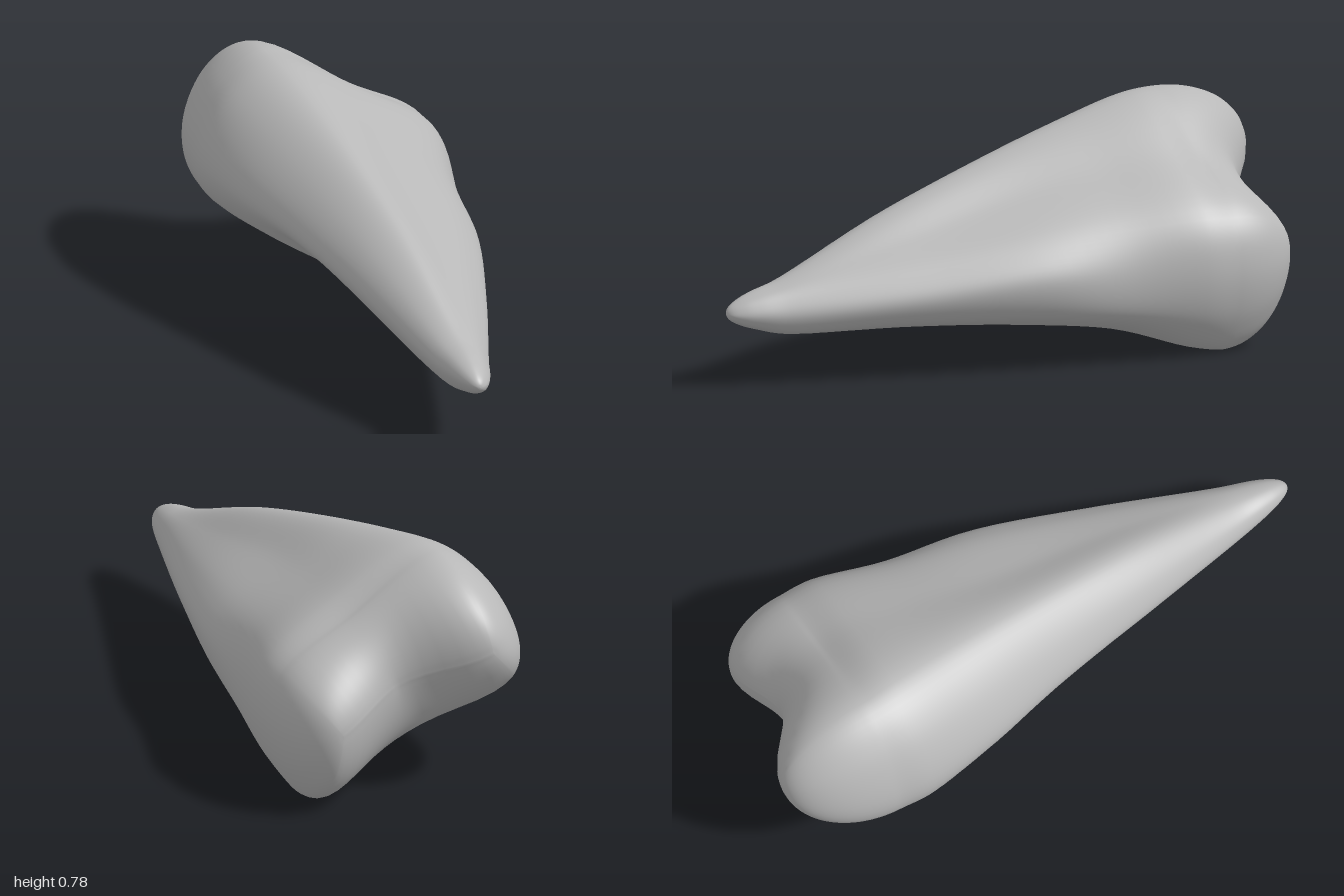
import * as THREE from 'three';
import { mergeVertices } from 'three/addons/utils/BufferGeometryUtils.js';

const COLS = 80;
const ROWS = 130;

// Cross-sections, ten points each: left edge, underside, right edge, upper face, ridge
const SECTIONS = [
  { z: 0.8, p: [-.09, .27, -.06, .205, -.01, .17, .04, .17, .08, .19, .1, .24, .08, .29, .045, .325, -.01, .342, -.065, .32] },
  { z: 0.4, p: [-.2, .36, -.135, .26, -.02, .18, .1, .165, .19, .19, .23, .27, .18, .355, .08, .435, -.035, .51, -.145, .46] },
  { z: 0, p: [-.3, .415, -.18, .315, .02, .16, .19, .14, .305, .19, .34, .31, .27, .42, .09, .535, -.08, .64, -.225, .56] },
  { z: -0.3, p: [-.385, .445, -.3, .31, 0, .14, .24, .1, .355, .16, .38, .3, .32, .45, .12, .595, -.115, .72, -.28, .635] },
  { z: -0.55, p: [-.43, .46, -.385, .325, 0, .13, .28, .02, .39, .12, .43, .3, .38, .47, .15, .63, -.15, .775, -.325, .68] },
  { z: -0.66, p: [-.425, .46, -.39, .33, .01, .14, .295, .001, .39, .11, .43, .3, .38, .465, .14, .61, -.165, .78, -.325, .685] },
];
const TIP = new THREE.Vector3(0, 0.25, 1);

// Centres of the two rear lobes and of the groove between them
const LOBE_A = new THREE.Vector3(-0.22, 0.54, -1);
const GROOVE = new THREE.Vector3(0.06, 0.42, -0.855);
const LOBE_B = new THREE.Vector3(0.28, 0.31, -0.91);
const REAR = [LOBE_A, LOBE_A, GROOVE, LOBE_B, LOBE_B, LOBE_B, LOBE_B, GROOVE, LOBE_A, LOBE_A];

// Closed curve through the points, sampled at equal steps
function sampleRing(points, type, tension) {
  const curve = new THREE.CatmullRomCurve3(points, true, type, tension);
  return Array.from({ length: COLS }, (_, j) => curve.getPoint(j / COLS));
}

function sectionRing({ z, p }) {
  const points = Array.from({ length: 10 }, (_, i) => new THREE.Vector3(p[2 * i], p[2 * i + 1], z));
  return sampleRing(points, 'centripetal');
}

// Line joining the rear lobes, dipping into a rounded groove
function rearLine() {
  return sampleRing(REAR, 'catmullrom', 0).map((v) => {
    const lobe = v.x < GROOVE.x ? LOBE_A : LOBE_B;
    const w = THREE.MathUtils.smoothstep(Math.abs(v.x - GROOVE.x), 0, Math.abs(lobe.x - GROOVE.x));
    return v.setZ(THREE.MathUtils.lerp(GROOVE.z, lobe.z, w));
  });
}

function controlRings() {
  const body = SECTIONS.map(sectionRing);
  // rounded front tip
  const tip = [[1, 0], [0.997, 0.12], [0.985, 0.28], [0.95, 0.5], [0.9, 0.7]].map(([z, k]) =>
    body[0].map((v) => TIP.clone().lerp(v, k).setZ(z)));
  // domed rear: each point closes on its own lobe or on the groove
  const last = body[body.length - 1];
  const target = rearLine();
  const rear = [];
  for (let n = 1; n <= 12; n++) {
    const a = (n / 12) * Math.PI / 2;
    rear.push(last.map((v, j) => {
      const r = target[j].clone().lerp(v, Math.cos(a));
      r.z = THREE.MathUtils.lerp(v.z, target[j].z, Math.sin(a));
      return r;
    }));
  }
  return [...tip, ...body, ...rear];
}

// Smooth surface through the control rings
function loft(rings) {
  const columns = rings[0].map((_, j) => new THREE.CatmullRomCurve3(rings.map((r) => r[j])));
  const positions = [];
  const index = [];
  for (let i = 0; i <= ROWS; i++) {
    for (let j = 0; j < COLS; j++) {
      positions.push(...columns[j].getPoint(i / ROWS).toArray());
      if (i === ROWS) continue;
      const a = i * COLS + j;
      const b = i * COLS + (j + 1) % COLS;
      index.push(a, a + COLS, b, b, a + COLS, b + COLS);
    }
  }
  let geometry = new THREE.BufferGeometry();
  geometry.setAttribute('position', new THREE.Float32BufferAttribute(positions, 3));
  geometry.setIndex(index);
  geometry = mergeVertices(geometry, 1e-4);
  geometry.computeVertexNormals();
  return geometry;
}

export function createModel() {
  const group = new THREE.Group();
  group.name = 'taperedBone';
  const grey = new THREE.MeshStandardMaterial({ color: 0xb8b8b8 });
  grey.name = 'grey';
  const body = new THREE.Mesh(loft(controlRings()), grey);
  body.name = 'boneBody';
  group.add(body);
  return group;
}
